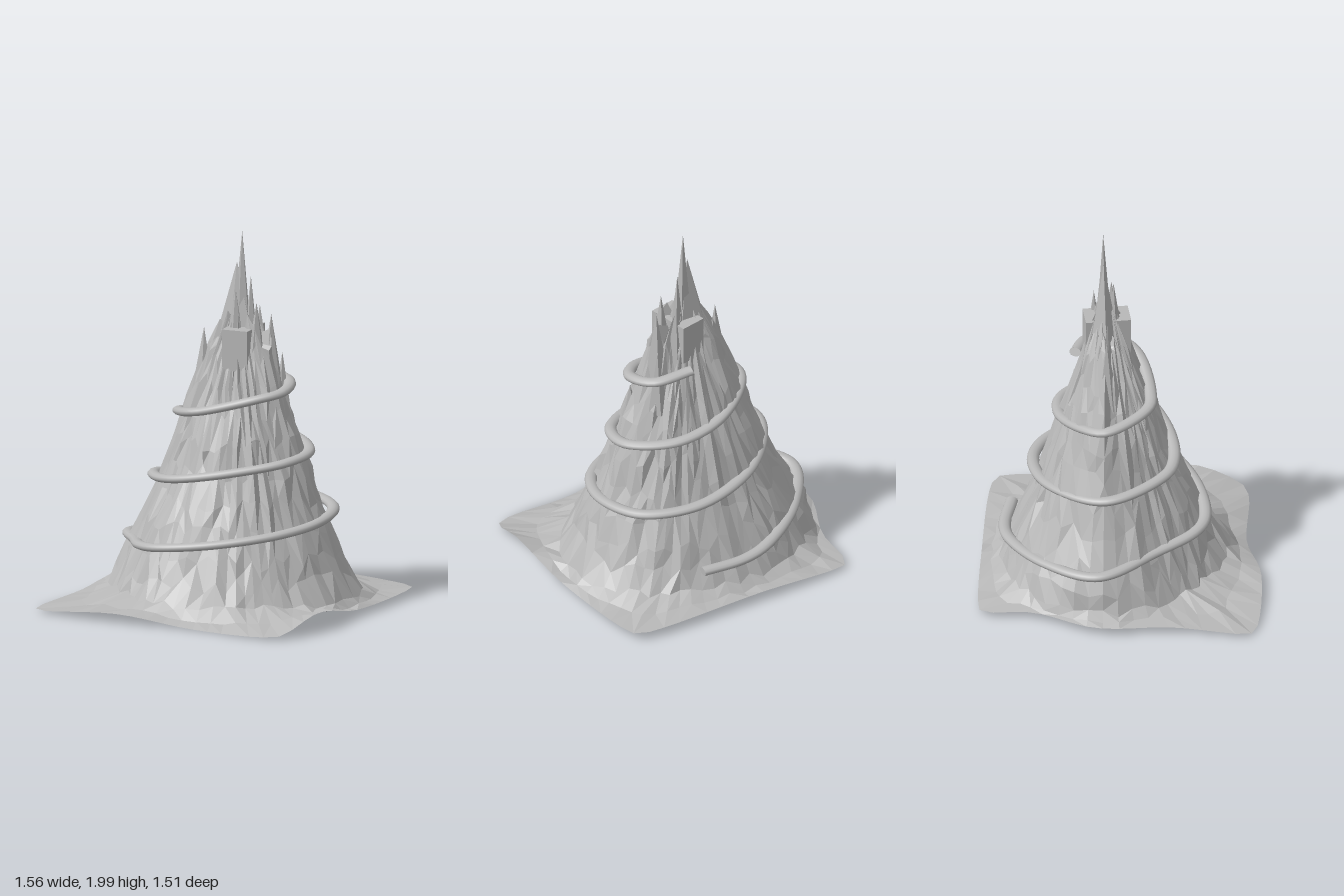
import * as THREE from 'three';

// repeatable noise in -1..1
const noise = (i, j) => {
  const s = Math.sin(i * 127.1 + j * 311.7) * 43758.5453;
  return (s - Math.floor(s)) * 2 - 1;
};
const CZ = -0.1; // mountain axis in z
const COLS = 64;

// wavy edge of the ground sheet, from +x round to +z
const edge = [
  [0.76, 0.05, -0.1], [0.78, 0.11, 0.3], [0.73, 0.03, 0.57], [0.64, 0.02, 0.61], [0.2, 0.01, 0.63],
  [-0.2, 0.06, 0.735], [-0.67, 0.02, 0.745], [-0.73, 0.02, 0.72], [-0.73, 0.04, 0.3], [-0.78, 0.05, -0.1],
  [-0.65, 0.05, -0.44], [-0.63, 0.03, -0.71], [-0.58, 0.03, -0.73], [-0.1, 0.06, -0.75], [0.67, 0.05, -0.73], [0.7, 0.05, -0.69],
];

// height, then reach to left (-x), right (+x), front and back
const rows = [
  [0.1, 0.72, 0.68, 0.55, 0.65], [0.2, 0.69, 0.61, 0.48, 0.6], [0.32, 0.62, 0.56, 0.43, 0.55],
  [0.46, 0.54, 0.5, 0.37, 0.48], [0.6, 0.48, 0.45, 0.3, 0.43], [0.75, 0.42, 0.41, 0.23, 0.38],
  [0.9, 0.37, 0.36, 0.18, 0.34], [1.05, 0.31, 0.3, 0.12, 0.29], [1.2, 0.25, 0.26, 0.06, 0.24],
  [1.35, 0.19, 0.22, 0.01, 0.2], [1.48, 0.12, 0.19, -0.04, 0.17],
];

// point on a mountain cross-section at angle a
function section([y, left, right, front, back], a, i, j) {
  const c = Math.cos(a), s = Math.sin(a);
  const rx = c < 0 ? left : right, rz = s > 0 ? front - CZ : back + CZ;
  const p = s > 0 ? 1.75 : 2.05;
  let r = (Math.abs(c / rx) ** p + Math.abs(s / rz) ** p) ** (-1 / p);
  r += 0.014 * noise(i, j) + 0.012 * noise(i, 99) * Math.min(1, j / 4);
  const dy = noise(i + 7, j) * (j === rows.length - 1 ? 0.1 : j < 1 ? 0.02 : 0.045);
  r -= dy * (j < 4 ? 0.5 : 0.36);
  return [r * c, y + dy, CZ + r * s];
}

function mountainGeometry() {
  const curve = new THREE.CatmullRomCurve3(edge.map((p) => new THREE.Vector3(...p)), true, 'centripetal');
  const rings = [[], [], ...rows.map(() => [])];
  for (let i = 0; i < COLS; i++) {
    const e = curve.getPointAt(i / COLS);
    const a = Math.atan2(e.z - CZ, e.x);
    rings[0].push(e.toArray());
    rows.forEach((row, j) => rings[j + 2].push(section(row, a, i, j)));
    // ground between the edge and the foot of the slope
    const mid = e.clone().lerp(new THREE.Vector3(...rings[2][i]), 0.55);
    mid.y = Math.min(mid.y, e.y * 0.5 + 0.035) + 0.01 * noise(i, 55);
    rings[1].push(mid.toArray());
  }
  const pos = [];
  const tri = (...pts) => pts.forEach((p) => pos.push(...p));
  for (let j = 0; j < rings.length - 1; j++) {
    for (let i = 0; i < COLS; i++) {
      const k = (i + 1) % COLS;
      const a = rings[j][i], b = rings[j][k], c = rings[j + 1][i], d = rings[j + 1][k];
      if (noise(i, j + 20) > 0) { tri(a, c, b); tri(b, c, d); }
      else { tri(a, c, d); tri(a, d, b); }
    }
  }
  // sunken top
  const last = rings[rings.length - 1];
  last.forEach((p, i) => tri(p, [0.03, 1.42, CZ], last[(i + 1) % COLS]));
  const g = new THREE.BufferGeometry();
  g.setAttribute('position', new THREE.Float32BufferAttribute(pos, 3));
  g.computeVertexNormals();
  return g;
}

// x, z, foot height, tip height, half width in x, half depth in z
const spikes = [
  [-0.015, -0.11, 1.2, 1.83, 0.19, 0.11], [0.015, -0.115, 1.5, 2, 0.05, 0.04], [0.06, -0.13, 1.3, 1.76, 0.05, 0.05],
  [0.01, -0.06, 1.3, 1.7, 0.07, 0.06], [0.13, -0.08, 1.2, 1.635, 0.07, 0.08], [0.19, -0.13, 1.15, 1.57, 0.07, 0.08],
  [0.09, -0.17, 1.2, 1.6, 0.08, 0.06], [-0.205, -0.08, 1.05, 1.46, 0.08, 0.07], [-0.165, -0.12, 1.1, 1.42, 0.07, 0.07],
  [0.22, -0.19, 1, 1.36, 0.06, 0.06], [0.34, -0.06, 0.75, 0.95, 0.06, 0.08], [0.29, -0.03, 0.85, 1.1, 0.06, 0.06],
];

// plan of the winding road (x, z), from the back foot three times round
const plan = [
  [0.2, -0.61], [-0.05, -0.63], [-0.22, -0.59], [-0.51, -0.38], [-0.67, -0.09], [-0.45, 0.2], [-0.28, 0.39],
  [-0.15, 0.435], [0.15, 0.36], [0.42, 0.15], [0.505, -0.1], [0.42, -0.37], [0.13, -0.49],
  [-0.25, -0.38], [-0.475, -0.06], [-0.27, 0.23], [-0.12, 0.27], [0.15, 0.2], [0.38, 0.02], [0.4, -0.17],
  [0.2, -0.34], [-0.05, -0.34], [-0.28, -0.2], [-0.345, -0.07], [-0.17, 0.135], [-0.05, 0.14], [0.22, 0.05],
  [0.305, -0.06], [0.25, -0.21], [0.05, -0.265],
];

// the road climbs evenly with the angle turned, a little higher on the right
function roadPath(flat) {
  let turned = -1;
  return new THREE.CatmullRomCurve3(plan.map(([x, z]) => {
    let a = Math.atan2(-x, CZ - z);
    while (a < turned) a += Math.PI * 2;
    turned = a;
    const y = Math.max(0.21, 0.21 + 0.0552 * a + 0.015 * Math.max(0, -Math.sin(a)));
    return new THREE.Vector3(x, y / flat, z);
  }));
}

export function createModel() {
  const model = new THREE.Group();
  const rock = new THREE.MeshStandardMaterial({ color: 0xb8b8b8, flatShading: true, side: THREE.DoubleSide });
  const smooth = new THREE.MeshStandardMaterial({ color: 0xb8b8b8, side: THREE.DoubleSide });
  rock.name = 'grey rock';
  smooth.name = 'smooth grey';
  const add = (parent, name, geometry, material) => {
    const mesh = new THREE.Mesh(geometry, material);
    mesh.name = name;
    parent.add(mesh);
    return mesh;
  };

  add(model, 'mountain', mountainGeometry(), rock);

  // jagged summit
  const summit = new THREE.Group();
  summit.name = 'summitSpikes';
  model.add(summit);
  spikes.forEach(([x, z, foot, tip, rx, rz], i) => {
    const cone = new THREE.ConeGeometry(1, tip - foot, 5, 1, true);
    cone.rotateY(i * 1.3).scale(rx, 1, rz).translate(x, (foot + tip) / 2, z);
    add(summit, 'spike', cone, rock);
  });

  // road: a round tube flattened in height, with flat ends
  const flat = 0.68;
  const road = roadPath(flat);
  add(model, 'spiralRoad', new THREE.TubeGeometry(road, 260, 0.033, 12).scale(1, flat, 1), smooth);
  for (const t of [0, 1]) {
    const aim = new THREE.Object3D();
    aim.position.copy(road.getPoint(t));
    aim.lookAt(aim.position.clone().addScaledVector(road.getTangent(t), t ? 1 : -1));
    aim.updateMatrix();
    add(model, 'roadEnd', new THREE.CircleGeometry(0.033, 12).applyMatrix4(aim.matrix).scale(1, flat, 1), smooth);
  }

  // block set through the summit
  const block = add(model, 'summitBlock', new THREE.BoxGeometry(0.145, 0.22, 0.24), rock);
  block.position.set(0.035, 1.38, -0.097);
  block.rotation.y = 0.2;
  return model;
}
